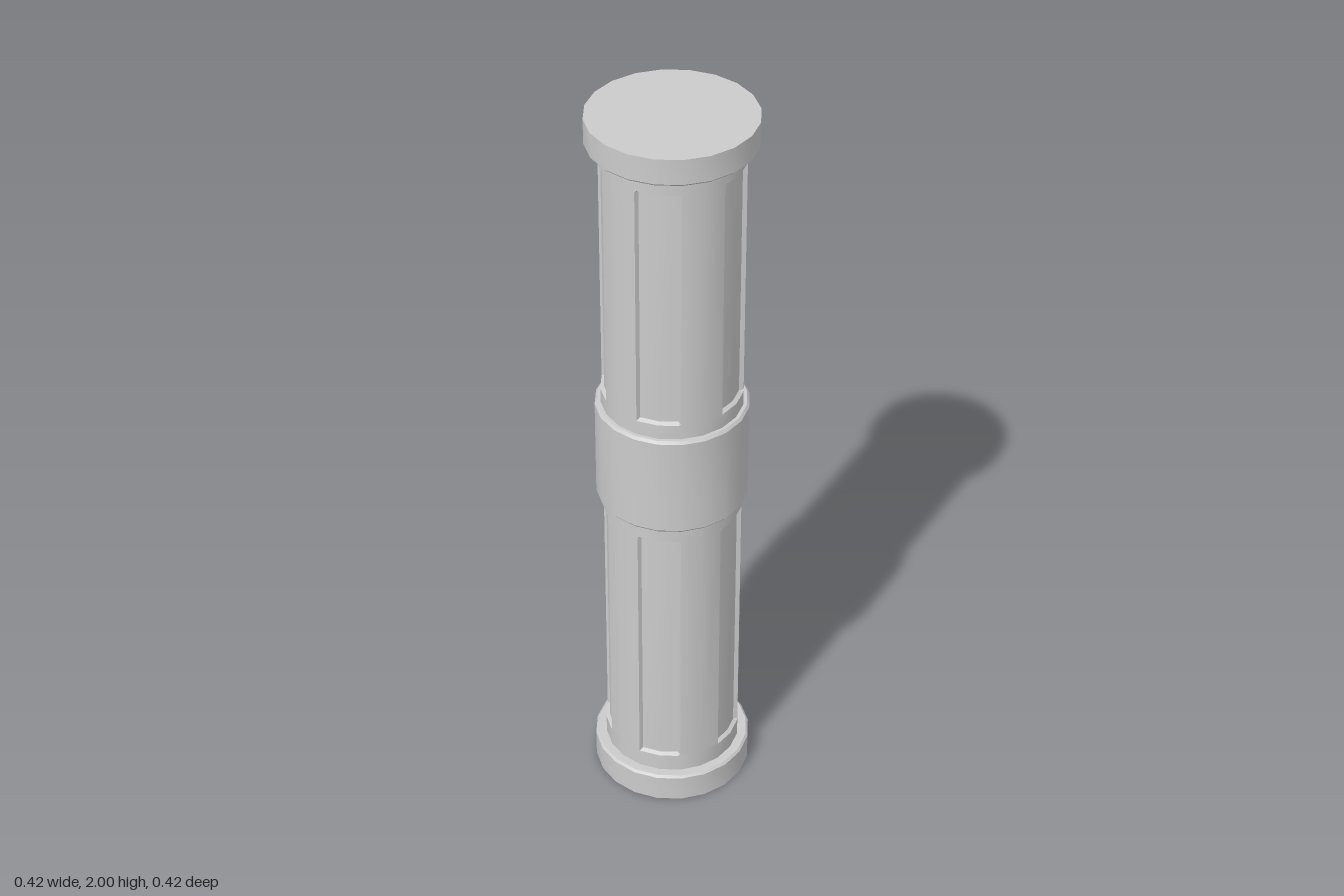
import * as THREE from 'three';
import { toCreasedNormals } from 'three/addons/utils/BufferGeometryUtils.js';

const SIDES = 20;
const STEP = (Math.PI * 2) / SIDES;
const CREASE = 0.5;
const BODY_R = 0.18;
const DEPTH = 0.01;

const material = new THREE.MeshStandardMaterial({ color: 0xcccccc });

function addMesh(group, name, geometry) {
  const mesh = new THREE.Mesh(toCreasedNormals(geometry, CREASE), material);
  mesh.name = name;
  group.add(mesh);
}

// Turned part from [radius, height] pairs, listed bottom to top
function turned(profile) {
  return new THREE.LatheGeometry(profile.map(([r, y]) => new THREE.Vector2(r, y)), SIDES);
}

// Faceted tube with five sunken panels, each two sides wide
function panelledTube(y0, y1, panelBottom, panelTop) {
  const wall = 0.006;
  const slope = 0.09; // sloped panel wall, as a fraction of one side
  const heights = [y0, panelBottom, panelBottom + wall, panelTop - wall, panelTop, y1];
  const columns = [];
  for (let p = 0; p < 5; p++) {
    for (const s of [-1, -1 + slope, 0, 1 - slope, 1, 2]) columns.push({ t: p * 4 + s, sunk: Math.abs(s) < 1 });
  }
  const positions = [];
  const index = [];
  const n = columns.length;
  heights.forEach((y, j) => {
    for (const { t, sunk } of columns) {
      const r = sunk && (j === 2 || j === 3) ? BODY_R - DEPTH : BODY_R;
      // Keep in-between columns on the flat side of the polygon
      const fromMiddle = (t - Math.floor(t) - 0.5) * STEP;
      const flat = (r * Math.cos(STEP / 2)) / Math.cos(fromMiddle);
      positions.push(flat * Math.sin(t * STEP), y, flat * Math.cos(t * STEP));
    }
  });
  for (let j = 0; j < heights.length - 1; j++) {
    for (let i = 0; i < n; i++) {
      const a = j * n + i;
      const b = j * n + ((i + 1) % n);
      index.push(a, b, b + n, a, b + n, a + n);
    }
  }
  const geometry = new THREE.BufferGeometry();
  geometry.setAttribute('position', new THREE.Float32BufferAttribute(positions, 3));
  geometry.setIndex(index);
  geometry.computeVertexNormals();
  return geometry;
}

export function createModel() {
  const group = new THREE.Group();
  group.name = 'panelledColumn';

  // End caps, softened on the edge facing the body
  addMesh(group, 'bottomCap', turned([[0, 0], [0.209, 0], [0.209, 0.074], [0.203, 0.08], [0.17, 0.08]]));
  addMesh(group, 'topCap', turned([[0.17, 1.928], [0.203, 1.928], [0.209, 1.934], [0.209, 2], [0, 2]]));

  // Upper and lower shafts
  addMesh(group, 'lowerShaft', panelledTube(0.07, 0.93, 0.13, 0.867));
  addMesh(group, 'upperShaft', panelledTube(1.17, 1.94, 1.23, 1.888));

  // Raised middle band with bevelled rims
  addMesh(group, 'middleBand', turned([[0.17, 0.907], [0.189, 0.907], [0.195, 0.914], [0.195, 1.183], [0.189, 1.19], [0.17, 1.19]]));

  return group;
}
